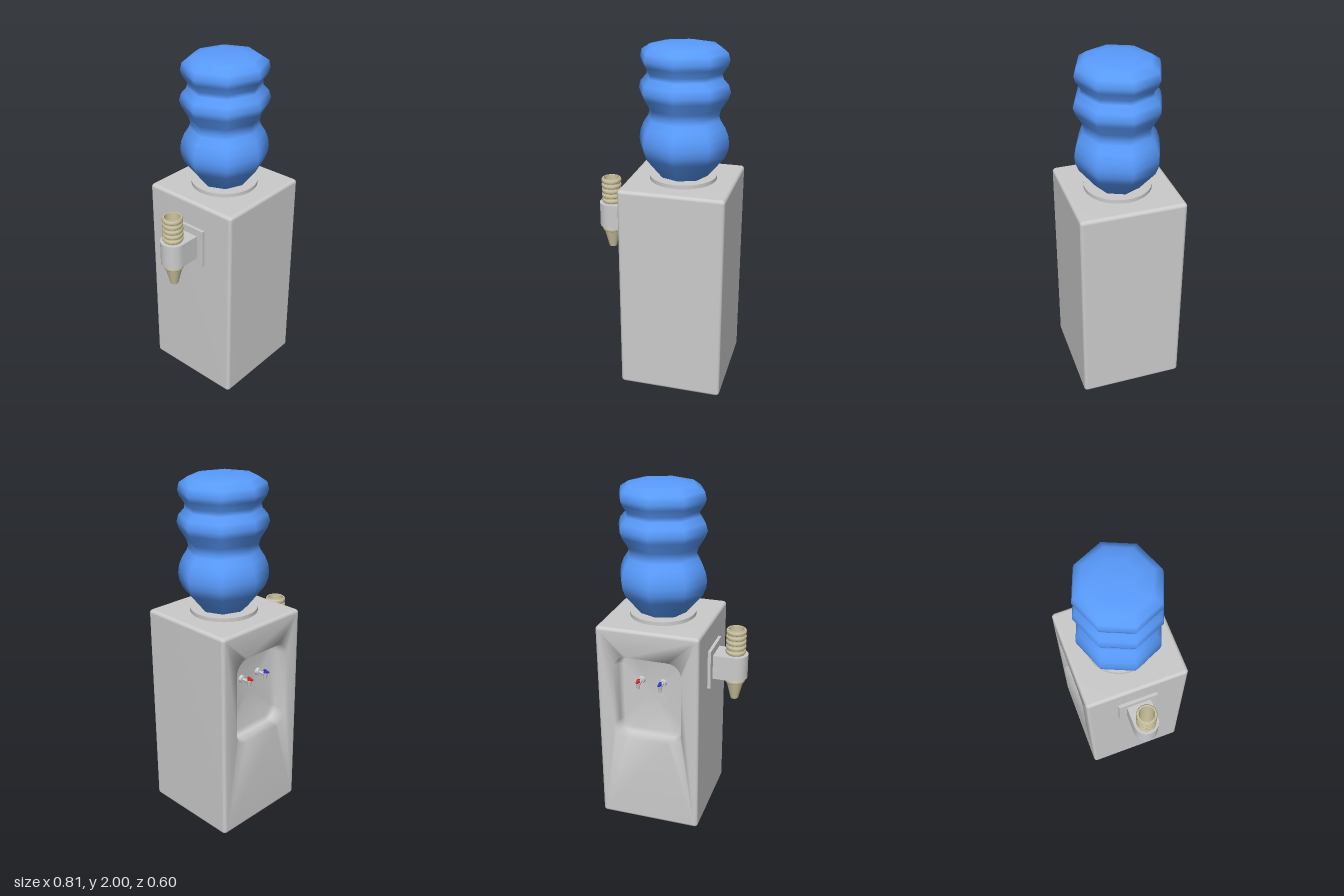
import * as THREE from 'three';

const mat = (color = 0xcccccc, extra = {}) => new THREE.MeshStandardMaterial({ color, ...extra });
const grey = mat(), tan = mat(0xccc4a0, { side: THREE.DoubleSide }), blue = mat(0x599cff);
const CX = 0.1; // the cabinet and bottle sit off centre, the cup holder balances them

function add(parent, name, geometry, material, x = 0, y = 0, z = 0) {
  const mesh = new THREE.Mesh(geometry, material);
  mesh.name = name;
  mesh.position.set(x, y, z);
  parent.add(mesh);
  return mesh;
}

const lathe = (points, sides) =>
  new THREE.LatheGeometry(points.map(([r, y]) => new THREE.Vector2(r, y)), sides);

// Rounded rectangle in xy, counterclockwise, always with the same point count
function rectLoop(cx, cy, hw, hh, r, z, steps = 6) {
  const loop = [];
  [[1, 1], [-1, 1], [-1, -1], [1, -1]].forEach(([sx, sy], corner) => {
    for (let k = 0; k <= steps; k++) {
      const a = (corner + k / steps) * Math.PI / 2;
      loop.push([cx + sx * (hw - r) + r * Math.cos(a), cy + sy * (hh - r) + r * Math.sin(a), z]);
    }
  });
  return loop;
}

function loft(loops) {
  const n = loops[0].length, index = [];
  for (let l = 0; l < loops.length - 1; l++) {
    for (let i = 0; i < n; i++) {
      const j = (i + 1) % n, a = l * n + i, b = l * n + j;
      index.push(a, a + n, b, b, a + n, b + n);
    }
  }
  const geometry = new THREE.BufferGeometry();
  geometry.setAttribute('position', new THREE.Float32BufferAttribute(loops.flat(2), 3));
  geometry.setIndex(index);
  geometry.computeVertexNormals();
  return geometry;
}

// Rounded cabinet with a tap recess sunk into its -z side
function cabinetGeometry() {
  const hw = 0.3, hh = 0.62, cy = 0.62, r = 0.02, steps = 4;
  const loops = [rectLoop(CX, cy, 0, 0, 0, hw)];
  const edge = (angle, side) => {
    const inset = r * (1 - Math.cos(angle));
    loops.push(rectLoop(CX, cy, hw - inset, hh - inset, Math.max(r - inset, 0.0005),
      side * (hw - r + r * Math.sin(angle))));
  };
  for (let k = steps; k >= 0; k--) edge(k / steps * Math.PI / 2, 1);
  for (let k = 0; k <= steps; k++) edge(k / steps * Math.PI / 2, -1);
  const ry = 0.815;
  loops.push(
    rectLoop(CX, ry, 0.2, 0.26, 0.08, -0.3),
    rectLoop(CX, ry, 0.195, 0.255, 0.075, -0.225),
    rectLoop(CX, ry, 0.175, 0.235, 0.06, -0.2),
    rectLoop(CX, ry, 0, 0, 0, -0.2));
  return loft(loops);
}

function makeTap(name, color, x) {
  const tap = new THREE.Group();
  tap.name = name;
  tap.position.set(x, 0.9, -0.2);
  const base = add(tap, 'tapBase', new THREE.CylinderGeometry(0.018, 0.022, 0.018, 16), grey, 0, 0, -0.008);
  const stem = add(tap, 'tapStem', new THREE.CylinderGeometry(0.009, 0.009, 0.06, 12), grey, 0, 0, -0.035);
  base.rotation.x = stem.rotation.x = -Math.PI / 2;
  add(tap, 'tapSpout', new THREE.CylinderGeometry(0.014, 0.008, 0.04, 12), grey, 0, -0.01, -0.062);
  add(tap, 'tapLever', new THREE.CylinderGeometry(0.006, 0.011, 0.014, 12), mat(color), 0, 0.016, -0.062);
  const handle = add(tap, 'tapHandle', new THREE.BoxGeometry(0.014, 0.006, 0.035), mat(color), 0, 0.022, -0.07);
  handle.rotation.x = -0.25;
  return tap;
}

function makeCupHolder() {
  const holder = new THREE.Group();
  holder.name = 'cupHolder';
  add(holder, 'mountingPlate', new THREE.BoxGeometry(0.02, 0.23, 0.232), grey, -0.208, 0.973, -0.002);

  // Arm with a half-round end
  const tubeX = -0.333, r = 0.072;
  const outline = new THREE.Shape();
  outline.moveTo(-0.21, -r);
  outline.lineTo(-0.21, r);
  outline.lineTo(tubeX, r);
  outline.absarc(tubeX, 0, r, Math.PI / 2, Math.PI * 1.5, false);
  const hole = new THREE.Path();
  hole.absarc(tubeX, 0, 0.05, 0, Math.PI * 2, true);
  outline.holes.push(hole);
  const arm = new THREE.ExtrudeGeometry(outline, { depth: 0.145, bevelEnabled: false, curveSegments: 24 });
  arm.rotateX(-Math.PI / 2);
  add(holder, 'holderArm', arm, grey, 0, 0.9, 0);

  // Tapered nozzle, straight sleeve and hollow inside
  add(holder, 'cupTube', lathe([
    [0, 0.762], [0.023, 0.762], [0.023, 0.762], [0.049, 0.866], [0.049, 0.866],
    [0.051, 0.87], [0.051, 1.198], [0.051, 1.198], [0.045, 1.198], [0.045, 1.198],
    [0.045, 0.9], [0.03, 0.84], [0.03, 0.84], [0, 0.84]], 32), tan, tubeX);

  // Ribs around the tube
  const rib = (y, h) => add(holder, 'tubeRib', lathe([
    [0.046, 0], [0.054, 0], [0.054, 0], [0.058, h * 0.25], [0.058, h * 0.75],
    [0.054, h], [0.054, h], [0.046, h]], 32), tan, tubeX, y);
  for (let i = 0; i < 5; i++) rib(1.05 + i * 0.0305, 0.023);
  rib(0.868, 0.026);
  return holder;
}

export function createModel() {
  const model = new THREE.Group();
  model.name = 'waterDispenser';

  add(model, 'cabinet', cabinetGeometry(), grey);
  add(model, 'bottleCollar', new THREE.CylinderGeometry(0.19, 0.19, 0.03, 40), grey, CX, 1.247, 0);

  // Eight-sided water bottle with smooth bulges
  const bottle = add(model, 'waterBottle', lathe([
    [0, 1.255], [0.137, 1.255], [0.137, 1.26], [0.234, 1.375], [0.252, 1.42], [0.257, 1.46], [0.25, 1.505],
    [0.232, 1.55], [0.205, 1.59], [0.197, 1.615], [0.207, 1.65], [0.245, 1.71], [0.257, 1.745],
    [0.245, 1.785], [0.213, 1.82], [0.211, 1.845], [0.238, 1.885], [0.248, 1.915], [0.238, 1.955],
    [0.192, 1.985], [0.11, 1.999], [0, 2]], 8), blue, CX);
  bottle.scale.z = 0.945;

  model.add(makeTap('hotTap', 0xdd2222, CX + 0.065));
  model.add(makeTap('coldTap', 0x3333cc, CX - 0.065));
  model.add(makeCupHolder());
  return model;
}
